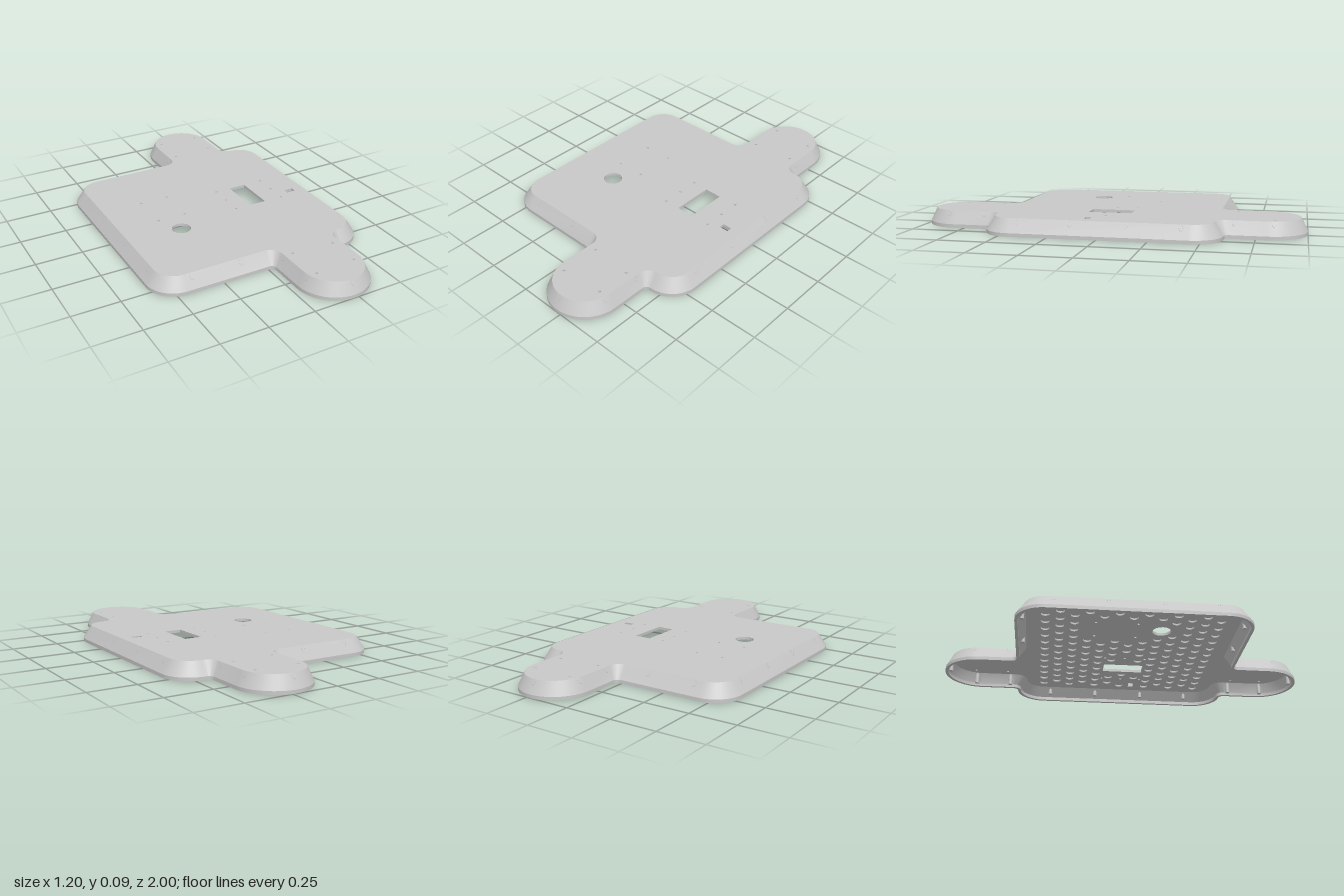
import * as THREE from 'three';
import { toCreasedNormals } from 'three/addons/utils/BufferGeometryUtils.js';

const TOP = 0.086;
const LOBE_X = 0.225;

// Closed outline in (x, z): rounded square with two round lobes, inset by dm (body) and dl (lobes)
function outline(dm, dl) {
  const h = 0.6 - dm, r = 0.15 - dm, L = 0.194 - dl, f = 0.028 + dl, P = Math.PI;
  const arcs = [
    [0.45, 0.45, r, 0, P / 2, 10],
    [LOBE_X + L + f, h + f, f, -P / 2, -P, 8],
    [LOBE_X, 0.806, L, 0, P, 28],
    [LOBE_X - L - f, h + f, f, 0, -P / 2, 8],
    [-0.45, 0.45, r, P / 2, P, 10],
  ];
  const half = [];
  for (const [cx, cy, rad, a0, a1, n] of arcs) {
    for (let i = 0; i <= n; i++) {
      const a = a0 + (a1 - a0) * i / n;
      half.push(new THREE.Vector2(cx + rad * Math.cos(a), cy + rad * Math.sin(a)));
    }
  }
  const mirrored = half.map(p => new THREE.Vector2(p.x, -p.y)).reverse();
  return half.concat(mirrored);
}

// Skin through a series of [dm, dl, y] outlines
function wallGeometry(sections) {
  const pos = [], idx = [];
  let n = 0;
  for (const [dm, dl, y] of sections) {
    const ring = outline(dm, dl);
    n = ring.length;
    for (const p of ring) pos.push(p.x, y, p.y);
  }
  for (let k = 0; k < sections.length - 1; k++) {
    for (let i = 0; i < n; i++) {
      const a = k * n + i, b = k * n + (i + 1) % n;
      idx.push(a, a + n, b, b, a + n, b + n);
    }
  }
  const g = new THREE.BufferGeometry();
  g.setAttribute('position', new THREE.Float32BufferAttribute(pos, 3));
  g.setIndex(idx);
  return toCreasedNormals(g, 0.45);
}

function circle(x, z, r) {
  const p = new THREE.Path();
  p.absarc(x, z, r, 0, Math.PI * 2, true);
  return p;
}

function rect(x0, x1, z0, z1) {
  return new THREE.Path([[x0, z0], [x0, z1], [x1, z1], [x1, z0]].map(p => new THREE.Vector2(...p)));
}

// Flat layer of the deck between two heights
function layer(holes, yTop, yBottom, segments) {
  const shape = new THREE.Shape(outline(0.045, 0.033));
  shape.holes = holes;
  const g = new THREE.ExtrudeGeometry(shape, {
    depth: yTop - yBottom, bevelEnabled: false, curveSegments: segments,
  });
  g.rotateX(Math.PI / 2);
  g.translate(0, yTop, 0);
  return g;
}

// Hollow screw post whose mouth is cut to the slope, which falls towards +x
function postGeometry(bottom, top, slope) {
  const profile = [[0, bottom], [0.011, bottom], [0.011, top], [0.007, top], [0.007, 0.05], [0, 0.05]];
  const g = new THREE.LatheGeometry(profile.map(p => new THREE.Vector2(...p)), 14);
  const p = g.attributes.position;
  for (let i = 0; i < p.count; i++) {
    if (p.getY(i) > 0.06) p.setY(i, Math.min(TOP, top - slope * p.getX(i)));
  }
  return toCreasedNormals(g, 0.6);
}

export function createModel() {
  const group = new THREE.Group();
  const grey = new THREE.MeshStandardMaterial({ color: 0xc8c8c8 });
  grey.name = 'plain grey';
  const add = (name, geometry) => {
    const m = new THREE.Mesh(geometry, grey);
    m.name = name;
    group.add(m);
    return m;
  };

  // Sloping rim: inner face, base edge, short upright lip, outer slope
  add('rim', wallGeometry([
    [0.053, 0.042, 0.073],
    [0.016, 0.016, 0.018],
    [0.016, 0.016, 0],
    [0, 0, 0],
    [0, 0, 0.018],
    [0.045, 0.033, TOP],
  ]));

  // Openings and screw holes through the deck
  const small = [
    [0.11, -0.85], [0.34, -0.84], [0.11, -0.645], [0.34, -0.66],
    [0.11, 0.64], [0.34, 0.655], [0.11, 0.845], [0.34, 0.83],
  ];
  for (const x of [-0.33, -0.175]) for (const z of [-0.19, 0.03]) small.push([x, z]);
  for (const x of [0.097, 0.385]) for (const z of [-0.112, 0, 0.112]) small.push([x, z]);
  const openings = () => [
    rect(0.185, 0.28, -0.112, 0.112),
    rect(0.445, 0.495, 0.055, 0.085),
    circle(-0.26, 0.16, 0.05),
    ...small.map(([x, z]) => circle(x, z, 0.007)),
  ];
  add('deck', layer(openings(), TOP, 0.08, 16));

  // Staggered round pockets in the underside, clear of the openings
  const blocked = (x, z) =>
    (x > -0.38 && x < -0.12 && z > -0.24 && z < 0.08) ||
    (x > 0.15 && x < 0.315 && z > -0.145 && z < 0.145) ||
    (x > 0.41 && x < 0.53 && z > 0.02 && z < 0.12) ||
    Math.hypot(x + 0.26, z - 0.16) < 0.08 ||
    small.some(([sx, sz]) => Math.hypot(x - sx, z - sz) < 0.034);
  const pockets = [];
  for (let row = -6; row <= 6; row++) {
    const shift = row % 2 ? 0.04 : 0;
    for (let col = -6; col <= 6; col++) {
      const x = col * 0.08 + shift, z = row * 0.075;
      if (Math.abs(x) > 0.5 || blocked(x, z)) continue;
      pockets.push(circle(x, z, 0.023));
    }
  }
  add('pocketedUnderside', layer([...openings(), ...pockets], 0.08, 0.071, 8));

  // Screw posts around the body and the lobes, each turned to face outwards
  const bodyPost = postGeometry(0.03, 0.072, 1.5);
  const lobePost = postGeometry(0.01, 0.081, 2);
  const place = (geometry, x, z, dx, dz) => {
    const m = add('screwPost', geometry);
    m.position.set(x, 0, z);
    m.rotation.y = Math.atan2(-dz, dx);
  };
  for (const s of [-1, 1]) {
    for (const z of [-0.41, -0.14, 0.135, 0.405]) place(bodyPost, s * 0.565, z, s, 0);
    for (const x of [-0.41, -0.14]) place(bodyPost, x, s * 0.565, 0, s);
    for (const side of [-1, 1]) {
      place(lobePost, LOBE_X + side * 0.164, s * 0.645, side, 0);
      place(lobePost, LOBE_X + side * 0.161, s * 0.837, side, s * 0.19);
    }
    place(lobePost, LOBE_X, s * 0.97, 0, s);
  }

  return group;
}
